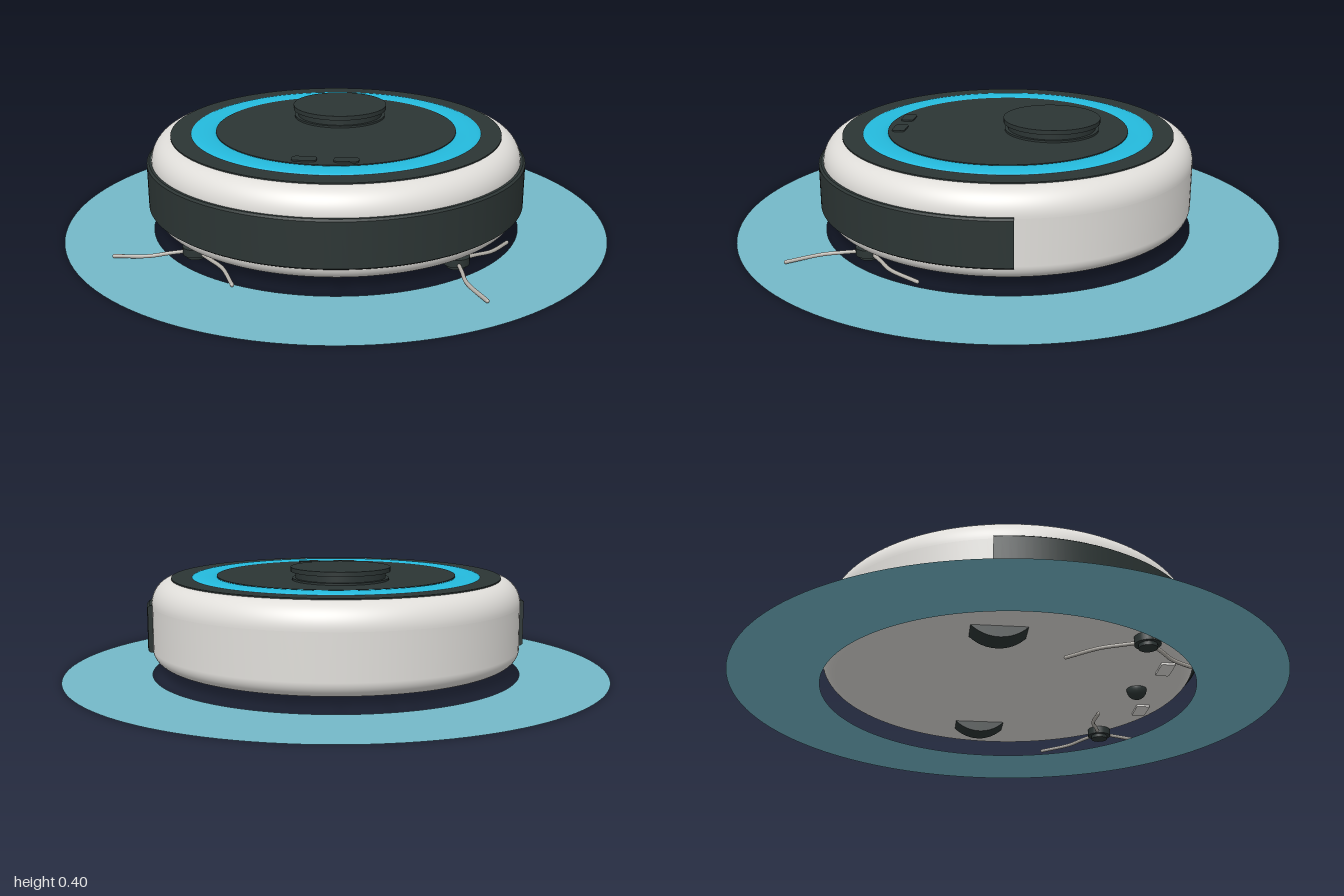
import * as THREE from 'three';

const paint = (name, color, side = THREE.FrontSide) => {
  const m = new THREE.MeshStandardMaterial({ color, side });
  m.name = name;
  return m;
};

export function createModel() {
  const white = paint('shell white', 0xe0deda);
  const dark = paint('charcoal', 0x2c3534, THREE.DoubleSide);
  const cyan = paint('light ring cyan', 0x24badd);
  const pale = paint('floor halo blue', 0x74b8c8, THREE.DoubleSide);
  const grey = paint('bristle grey', 0xb5b1aa);

  const root = new THREE.Group();
  root.name = 'robotVacuum';
  const add = (name, geo, mat, x = 0, y = 0, z = 0, parent = root) => {
    const mesh = new THREE.Mesh(geo, mat);
    mesh.name = name;
    mesh.position.set(x, y, z);
    parent.add(mesh);
    return mesh;
  };
  const disc = (r, h, n = 64) => new THREE.CylinderGeometry(r, r, h, n);

  // Flat halo on the floor around the body
  add('floorHalo', new THREE.RingGeometry(0.68, 1, 128).rotateX(-Math.PI / 2), pale, 0, 0.001, 0);

  // Round shell with softened rims
  const shell = new THREE.Path();
  shell.moveTo(0, 0.045);
  shell.lineTo(0.6, 0.045);
  shell.lineTo(0.62, 0.045);
  shell.absellipse(0.62, 0.1, 0.057, 0.055, -Math.PI / 2, 0, false);
  shell.lineTo(0.677, 0.26);
  shell.absellipse(0.597, 0.26, 0.08, 0.09, 0, Math.PI / 2, false);
  shell.lineTo(0.58, 0.35);
  shell.lineTo(0, 0.35);
  add('shell', new THREE.LatheGeometry(shell.getPoints(10), 128), white);

  // Top plate, raised light ring and centre lid
  add('topPlate', disc(0.605, 0.01, 128), dark, 0, 0.349, 0);
  const ringProfile = [];
  for (let i = 0; i <= 10; i++) {
    const a = (i / 10) * Math.PI;
    ringProfile.push(new THREE.Vector2(0.485 + 0.046 * Math.cos(a), 0.353 + 0.008 * Math.sin(a)));
  }
  add('lightRing', new THREE.LatheGeometry(ringProfile, 128), cyan);
  add('centreLid', disc(0.44, 0.008, 128), dark, 0, 0.354, 0);

  // Sensor turret
  const turret = new THREE.Group();
  turret.name = 'sensorTurret';
  turret.position.set(0, 0, -0.162);
  root.add(turret);
  add('turretBase', disc(0.172, 0.01), dark, 0, 0.36, 0, turret);
  add('turretNeck', disc(0.16, 0.03), dark, 0, 0.375, 0, turret);
  add('turretCap', disc(0.177, 0.016), dark, 0, 0.396, 0, turret);

  // Rounded button pads
  const pad = (w, d, h, r) => {
    const s = new THREE.Shape();
    const x = w / 2 - r, y = d / 2 - r;
    s.absarc(x, y, r, 0, Math.PI / 2);
    s.absarc(-x, y, r, Math.PI / 2, Math.PI);
    s.absarc(-x, -y, r, Math.PI, Math.PI * 1.5);
    s.absarc(x, -y, r, Math.PI * 1.5, Math.PI * 2);
    return new THREE.ExtrudeGeometry(s, { depth: h, bevelEnabled: false, curveSegments: 5 }).rotateX(-Math.PI / 2);
  };
  for (const s of [-1, 1]) add('button', pad(0.085, 0.048, 0.008, 0.015), dark, s * 0.071, 0.355, 0.39);

  // Wraparound front bumper with closed ends
  const reach = THREE.MathUtils.degToRad(99.5);
  const section = [[0.66, 0.095], [0.686, 0.095], [0.694, 0.101], [0.694, 0.259], [0.686, 0.265], [0.66, 0.265]]
    .map(([r, y]) => new THREE.Vector2(r, y));
  const bumper = new THREE.Group();
  bumper.name = 'bumper';
  root.add(bumper);
  for (let i = 0; i < section.length - 1; i++) {
    add('bumperFace', new THREE.LatheGeometry([section[i], section[i + 1]], 96, -reach, 2 * reach), dark, 0, 0, 0, bumper);
  }
  for (const phi of [-reach, reach]) {
    add('bumperEnd', new THREE.ShapeGeometry(new THREE.Shape(section)), dark, 0, 0, 0, bumper).rotation.y = phi - Math.PI / 2;
  }

  // Drive wheels, contact pads and front caster
  for (const s of [-1, 1]) {
    add('driveWheel', disc(0.133, 0.09, 48).rotateZ(Math.PI / 2), dark, s * 0.44, 0.138, -0.075);
    add('contactPad', pad(0.1, 0.05, 0.01, 0.006), white, s * 0.2, 0.037, 0.54);
  }
  add('caster', new THREE.SphereGeometry(0.037, 24, 16), dark, 0, 0.042, 0.48);

  // Side brushes: hub and three bent bristles
  for (const [side, start, bend] of [[-1, 173, -8], [1, 71, 8]]) {
    const brush = new THREE.Group();
    brush.name = side > 0 ? 'leftSideBrush' : 'rightSideBrush';
    brush.position.set(side * 0.445, 0, 0.42);
    root.add(brush);
    add('brushHub', disc(0.045, 0.028, 24), dark, 0, 0.032, 0, brush);
    add('brushBoss', disc(0.032, 0.018, 24), dark, 0, 0.014, 0, brush);
    for (let k = 0; k < 3; k++) {
      const at = (deg, r, y) => {
        const a = THREE.MathUtils.degToRad(deg);
        return new THREE.Vector3(r * Math.cos(a), y, r * Math.sin(a));
      };
      const tip = start + k * 120;
      const path = new THREE.CatmullRomCurve3([
        at(tip + bend, 0.02, 0.028), at(tip + bend, 0.09, 0.024), at(tip + bend, 0.16, 0.018), at(tip, 0.28, 0.01),
      ]);
      add('bristle', new THREE.TubeGeometry(path, 16, 0.007, 8), grey, 0, 0, 0, brush);
      add('bristleTip', new THREE.SphereGeometry(0.007, 8, 6), grey, ...at(tip, 0.28, 0.01).toArray(), brush);
    }
  }
  return root;
}
